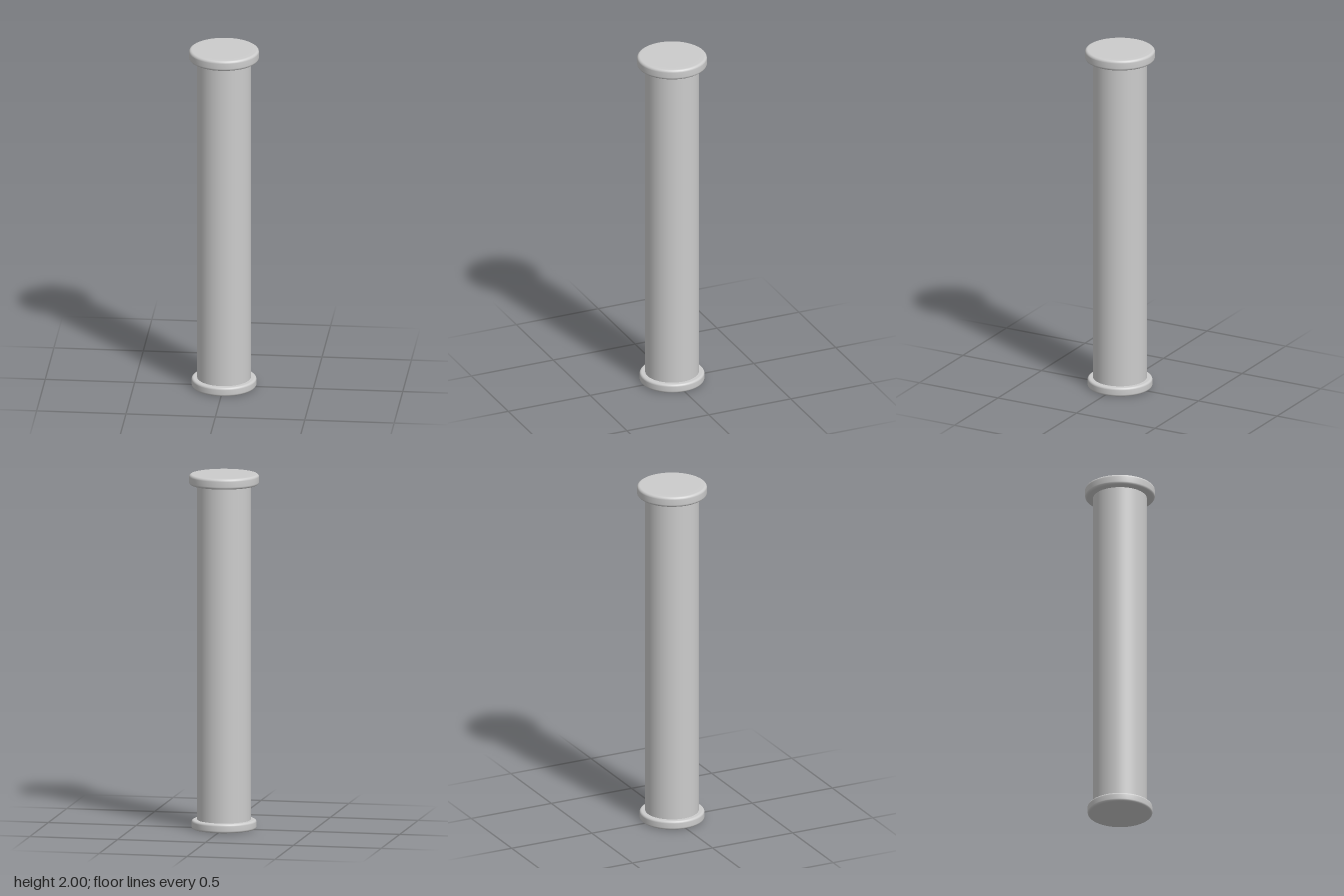
import * as THREE from 'three';

const SIDES = 48;

// Revolve a [radius, height] profile, listed from bottom to top
function turned(name, profile, material) {
  const points = profile.map(([r, y]) => new THREE.Vector2(r, y));
  const mesh = new THREE.Mesh(new THREE.LatheGeometry(points, SIDES), material);
  mesh.name = name;
  return mesh;
}

// Flat disc closing the end of a flange
function endDisc(name, radius, y, facing, material) {
  const mesh = new THREE.Mesh(new THREE.CircleGeometry(radius, SIDES), material);
  mesh.rotation.x = -facing * Math.PI / 2;
  mesh.position.y = y;
  mesh.name = name;
  return mesh;
}

// Ring profile with softly rounded outer edges
function flangeProfile(inner, outer, bottom, top, round) {
  const profile = [[inner, bottom]];
  for (const [cy, start] of [[bottom + round, -90], [top - round, 0]]) {
    for (let i = 0; i <= 4; i++) {
      const a = THREE.MathUtils.degToRad(start + i * 22.5);
      profile.push([outer - round + round * Math.cos(a), cy + round * Math.sin(a)]);
    }
  }
  profile.push([inner, top]);
  return profile;
}

export function createModel() {
  const grey = new THREE.MeshStandardMaterial({ color: 0xcccccc });
  grey.name = 'light grey';
  const model = new THREE.Group();
  model.name = 'column';

  // Long plain shaft
  const shaft = new THREE.Mesh(new THREE.CylinderGeometry(0.15, 0.15, 1.92, SIDES, 1, true), grey);
  shaft.position.y = 0.99;
  shaft.name = 'shaft';

  // Wider flange at the top, slightly smaller one at the foot
  model.add(
    shaft,
    turned('topFlange', flangeProfile(0.15, 0.195, 1.94, 2, 0.015), grey),
    endDisc('topDisc', 0.15, 2, 1, grey),
    turned('baseFlange', flangeProfile(0.15, 0.181, 0, 0.052, 0.013), grey),
    endDisc('baseDisc', 0.15, 0, -1, grey),
  );
  return model;
}
